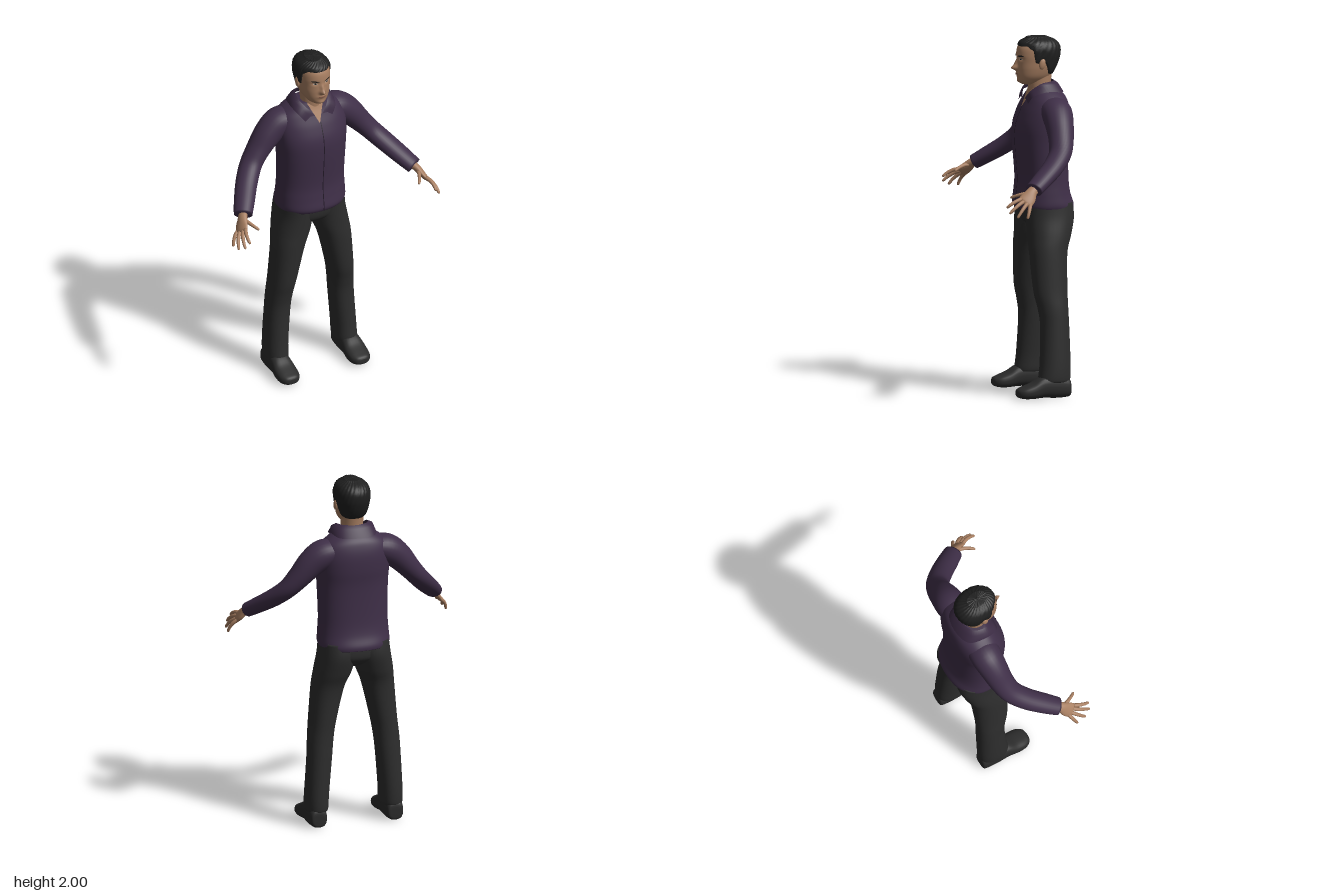
import * as THREE from 'three';

const V3 = (x, y, z) => new THREE.Vector3(x, y, z);
const UP = V3(0, 1, 0);
const flat = (name, color, side = THREE.FrontSide) => {
  const m = new THREE.MeshStandardMaterial({ color, side });
  m.name = name;
  return m;
};

// Catmull-Rom interpolation of rows of numbers, k steps per gap
function smooth(rows, k) {
  const out = [], n = rows.length;
  for (let i = 0; i < n - 1; i++) {
    const [a, b, c, d] = [rows[Math.max(i - 1, 0)], rows[i], rows[i + 1], rows[Math.min(i + 2, n - 1)]];
    for (let j = 0; j < k; j++) {
      const t = j / k;
      out.push(b.map((_, q) => b[q] + 0.5 * t * (c[q] - a[q] + t * (2 * a[q] - 5 * b[q] + 4 * c[q] - d[q] + t * (3 * (b[q] - c[q]) + d[q] - a[q])))));
    }
  }
  out.push(rows[n - 1].slice());
  return out;
}

// Superellipse point
const sup = (t, n) => [Math.cos(t), Math.sin(t)].map(v => Math.sign(v) * Math.abs(v) ** (2 / n));

function grid(rings, closed) {
  const w = rings[0].length, pos = rings.flat().flatMap(p => [p.x, p.y, p.z]), idx = [];
  for (let i = 0; i < rings.length - 1; i++)
    for (let j = 0; j < (closed ? w : w - 1); j++) {
      const a = i * w + j, b = i * w + (j + 1) % w;
      idx.push(a, b, b + w, a, b + w, a + w);
    }
  const g = new THREE.BufferGeometry();
  g.setAttribute('position', new THREE.Float32BufferAttribute(pos, 3));
  g.setIndex(idx);
  g.computeVertexNormals();
  return g;
}

// Rows [cx, cy, cz, a, b]; rings follow the path, or stay square to a fixed axis
function loft(rows, { k = 5, seg = 28, n = 2, axis, hint = UP } = {}) {
  const r = smooth(rows, k), c = r.map(q => V3(q[0], q[1], q[2]));
  const rings = r.map((q, i) => {
    const T = axis ? axis.clone() : c[Math.min(i + 1, c.length - 1)].clone().sub(c[Math.max(i - 1, 0)]).normalize();
    const U = axis === UP ? V3(1, 0, 0) : T.clone().cross(hint).normalize();
    const W = T.clone().cross(U);
    return Array.from({ length: seg }, (_, j) => {
      const [u, v] = sup(j / seg * Math.PI * 2, n);
      return c[i].clone().addScaledVector(U, u * q[3]).addScaledVector(W, v * q[4]);
    });
  });
  const cap = i => Array(seg).fill(c[i]);
  return grid([cap(0), ...rings, cap(c.length - 1)], true);
}

// Rows [y, cx, halfWidth, front, back] for upright parts
const upright = rows => rows.map(([y, x, w, f, b]) => [x, y, (f + b) / 2, w, (f - b) / 2]);
function at(dense, y) {
  let i = 0;
  while (i < dense.length - 2 && dense[i + 1][1] < y) i++;
  const a = dense[i], b = dense[i + 1], t = Math.min(1, Math.max(0, (y - a[1]) / (b[1] - a[1])));
  return a.map((v, q) => v + (b[q] - v) * t);
}
const frontOf = (rows, n) => {
  const d = smooth(rows, 6);
  return (x, y) => {
    const [cx, , cz, a, b] = at(d, y);
    return cz + b * Math.max(0, 1 - Math.abs((x - cx) / a) ** n) ** (1 / n);
  };
};

const TORSO = upright([
  [1.045, 0, 0.196, 0.04, -0.275], [1.07, 0, 0.202, 0.048, -0.275], [1.13, 0, 0.199, 0.04, -0.255], [1.22, 0, 0.195, 0.034, -0.245],
  [1.4, 0, 0.2, 0.048, -0.243], [1.5, 0, 0.207, 0.046, -0.252], [1.58, 0, 0.208, 0.02, -0.252],
  [1.64, 0, 0.19, -0.01, -0.24], [1.68, 0, 0.145, -0.03, -0.22], [1.72, 0, 0.08, -0.045, -0.175]]);
const HEAD = upright([
  [1.733, 0, 0.028, 0.005, -0.08], [1.75, 0, 0.052, 0.028, -0.125], [1.78, 0, 0.073, 0.035, -0.155], [1.82, 0, 0.084, 0.037, -0.178],
  [1.86, 0, 0.088, 0.036, -0.192], [1.9, 0, 0.09, 0.037, -0.2], [1.94, 0, 0.086, 0.03, -0.198],
  [1.97, 0, 0.068, 0.008, -0.172], [1.988, 0, 0.03, -0.03, -0.125]]);
// Face relief: [x, y, height, spread x, spread y]
const RELIEF = [[0, 1.826, 0.03, 0.013, 0.014], [0, 1.85, 0.016, 0.009, 0.022], [0.036, 1.88, -0.009, 0.017, 0.01],
  [-0.036, 1.88, -0.009, 0.017, 0.01], [0, 1.793, 0.007, 0.022, 0.009], [0, 1.752, 0.006, 0.02, 0.012]];
const relief = (x, y) => RELIEF.reduce((s, [a, b, h, p, q]) => s + h * Math.exp(-(((x - a) / p) ** 2) - ((y - b) / q) ** 2), 0);

export function createModel() {
  const model = new THREE.Group();
  model.name = 'standingMan';
  const D = THREE.DoubleSide;
  const skin = flat('skin', 0xa87f62, D), shirt = flat('shirt', 0x3f2f48), shirtOpen = flat('collarCloth', 0x3b2b43, D);
  const seam = flat('seam', 0x211826, D), trousers = flat('trousers', 0x2d2d2d), shoe = flat('shoe', 0x2b2b2b);
  const hair = flat('hair', 0x1f1f1f, D), lip = flat('lips', 0x8a5e4c, D), white = flat('eyeWhite', 0xb8aea4, D);
  const add = (name, geo, mat) => {
    const m = new THREE.Mesh(geo, mat);
    m.name = name;
    model.add(m);
  };

  // Shirt body and front details that follow the chest
  add('shirtBody', loft(TORSO, { axis: UP, n: 2.3, seg: 56 }), shirt);
  const chest = frontOf(TORSO, 2.3);
  const strip = (y0, y1, x0, half, off) => grid(Array.from({ length: 25 }, (_, i) => {
    const t = i / 24, y = y0 + (y1 - y0) * t;
    return [-1, -0.5, 0, 0.5, 1].map(u => { const x = x0 + u * half(t); return V3(x, y, chest(x, y) + off); });
  }), false);
  add('buttonPlacket', strip(1.05, 1.61, 0.006, () => 0.0025, 0.003), seam);
  add('openNeckline', strip(1.605, 1.715, 0, t => 0.05 * t, 0.004), skin);

  // Collar: folded strip around the neck
  const inner = [[0.022, 1.655, 0], [0.06, 1.7, -0.022], [0.09, 1.742, -0.075], [0.07, 1.752, -0.145], [0, 1.752, -0.172]];
  const outer = [[0.085, 1.632, 0], [0.117, 1.677, -0.025], [0.13, 1.7, -0.1], [0.1, 1.692, -0.195], [0, 1.69, -0.222]];
  const round = p => smooth([...p, ...p.slice(0, -1).reverse().map(([x, y, z]) => [-x, y, z])], 6).map(q => V3(...q));
  const ci = round(inner), co = round(outer);
  const cm = ci.map((p, i) => p.clone().lerp(co[i], 0.45).add(V3(p.x * 0.08, 0.012, 0)));
  add('collar', grid([ci, cm, co], false), shirtOpen);

  // Neck and head
  add('neck', loft(upright([[1.62, 0, 0.07, -0.04, -0.17], [1.7, 0, 0.062, -0.03, -0.155], [1.8, 0, 0.065, -0.03, -0.165]]), { axis: UP }), skin);
  const head = loft(HEAD, { axis: UP, n: 2.2, seg: 96, k: 8 }), hp = head.attributes.position;
  for (let i = 0; i < hp.count; i++) if (hp.getZ(i) > -0.04) hp.setZ(i, hp.getZ(i) + relief(hp.getX(i), hp.getY(i)));
  head.computeVertexNormals();
  add('head', head, skin);

  // Face details, laid on the face surface
  const bare = frontOf(HEAD, 2.2);
  const patch = (x, y, w, h, tilt, off) => {
    const g = new THREE.CircleGeometry(1, 20).scale(w, h, 1).rotateZ(tilt).translate(x, y, 0), p = g.attributes.position;
    for (let i = 0; i < p.count; i++) p.setZ(i, bare(p.getX(i), p.getY(i)) + relief(p.getX(i), p.getY(i)) + off);
    g.computeVertexNormals();
    return g;
  };
  add('mouth', patch(0, 1.793, 0.024, 0.005, 0, 0.002), lip);
  for (const s of [1, -1]) {
    const side = s > 0 ? 'left' : 'right';
    add(side + 'Eye', patch(s * 0.036, 1.878, 0.013, 0.0045, 0, 0.002), white);
    add(side + 'Iris', patch(s * 0.036, 1.878, 0.0055, 0.0048, 0, 0.0035), hair);
    add(side + 'Eyebrow', patch(s * 0.038, 1.895, 0.022, 0.004, s * 0.12, 0.003), hair);
    add(side + 'Ear', new THREE.SphereGeometry(1, 16, 12).scale(0.011, 0.031, 0.019).rotateX(-0.2).translate(s * 0.092, 1.853, -0.082), skin);
  }

  // Hair: a shell over the skull whose hairline changes around the head
  const dense = smooth(HEAD, 6), line = [[-1, 1.775], [-0.55, 1.79], [-0.2, 1.85], [0, 1.875], [0.08, 1.85], [0.25, 1.855], [0.38, 1.925], [0.7, 1.95], [1, 1.948]];
  const hairline = s => {
    const i = Math.max(0, line.findIndex(q => q[0] >= s) - 1), [a, b] = [line[i], line[i + 1]];
    return a[1] + (b[1] - a[1]) * (s - a[0]) / (b[0] - a[0]);
  };
  const hairRings = [];
  for (let i = 0; i <= 24; i++) {
    const t = i / 24;
    hairRings.push(Array.from({ length: 96 }, (_, j) => {
      const th = -j / 96 * Math.PI * 2, [u, v] = sup(th, 2.2);
      const y0 = hairline(Math.max(-0.9999, Math.min(0.9999, Math.sin(th))));
      const y = y0 + (1.988 - y0) * Math.sin(t * Math.PI / 2), [, , cz, a, b] = at(dense, y);
      const tuft = 0.0018 * Math.sin(j * 1.3 + i * 0.9) * Math.sin(i * 1.7 - j * 0.4);
      const off = i === 0 ? -0.004 : Math.min(0.011, 0.004 + t * 0.02) + tuft;
      return V3(u * (a + off), y + 0.009 * t * t + tuft, cz + v * (b + off));
    }));
  }
  hairRings.push(Array(96).fill(V3(0, 2, -0.078)));
  add('hair', grid(hairRings, true), hair);

  // Hips joining the two legs
  add('hips', loft(upright([[0.925, 0, 0.05, -0.06, -0.17], [0.96, 0, 0.13, -0.01, -0.225], [1.0, 0, 0.192, 0.012, -0.252], [1.08, 0, 0.19, 0.02, -0.25]]),
    { axis: UP, n: 2.4, seg: 40 }), trousers);

  for (const s of [1, -1]) {
    const side = s > 0 ? 'left' : 'right';
    const flip = rows => rows.map(([x, ...r]) => [x * s, ...r]);

    // Sleeve
    add(side + 'Sleeve', loft(flip([[0.1, 1.61, -0.13, 0.085, 0.06], [0.18, 1.59, -0.135, 0.088, 0.082], [0.25, 1.54, -0.13, 0.08, 0.077],
      [0.32, 1.46, -0.118, 0.07, 0.063], [0.38, 1.39, -0.092, 0.064, 0.054], [0.44, 1.325, -0.03, 0.062, 0.05],
      [0.5, 1.262, 0.055, 0.058, 0.045], [0.538, 1.222, 0.112, 0.052, 0.041]])), shirt);

    // Palm, four fingers and thumb
    const hint = V3(0.78 * s, 0.62, 0);
    add(side + 'Palm', loft(flip([[0.525, 1.235, 0.09, 0.026, 0.024], [0.548, 1.213, 0.125, 0.03, 0.021],
      [0.566, 1.185, 0.15, 0.041, 0.018], [0.579, 1.165, 0.172, 0.042, 0.014], [0.583, 1.159, 0.18, 0.034, 0.009]]), { hint }), skin);
    const fingers = {
      IndexFinger: [[0.567, 1.18, 0.195], [0.585, 1.138, 0.283]], MiddleFinger: [[0.576, 1.168, 0.181], [0.61, 1.108, 0.275]],
      RingFinger: [[0.584, 1.158, 0.163], [0.63, 1.085, 0.235]], LittleFinger: [[0.589, 1.152, 0.147], [0.635, 1.078, 0.178]],
      Thumb: [[0.545, 1.205, 0.138], [0.503, 1.18, 0.236]],
    };
    for (const [name, [p, q]] of Object.entries(fingers)) {
      const rows = [[0, 0.011], [0.35, 0.0105], [0.7, 0.009], [0.93, 0.0075], [1, 0.003]].map(([t, r]) => {
        const bow = 0.008 * Math.sin(t * Math.PI);
        return [p[0] + (q[0] - p[0]) * t + bow, p[1] + (q[1] - p[1]) * t + bow, p[2] + (q[2] - p[2]) * t, r, r];
      });
      add(side + name, loft(flip(rows), { seg: 14, k: 3 }), skin);
    }

    // Trouser leg
    const leg = upright([[0.09, 0.216, 0.06, -0.022, -0.195], [0.11, 0.216, 0.065, -0.02, -0.202], [0.2, 0.213, 0.066, -0.03, -0.204],
      [0.4, 0.199, 0.069, -0.038, -0.2], [0.5, 0.191, 0.071, -0.025, -0.197], [0.6, 0.178, 0.074, -0.004, -0.197],
      [0.8, 0.146, 0.09, 0.008, -0.205], [0.9, 0.12, 0.103, 0.01, -0.235], [1.0, 0.101, 0.103, 0.015, -0.258], [1.08, 0.096, 0.1, 0.02, -0.25]]);
    add(side + 'TrouserLeg', loft(flip(leg), { axis: UP, n: 2.2, seg: 36 }), trousers);

    // Shoe, from heel to toe: [z, half width, bottom, top]
    const sole = [[-0.2, 0.03, 0.02, 0.08], [-0.188, 0.046, 0.005, 0.11], [-0.12, 0.055, 0, 0.13], [-0.04, 0.058, 0.004, 0.125],
      [0.02, 0.064, 0, 0.09], [0.07, 0.06, 0.002, 0.07], [0.1, 0.042, 0.01, 0.058], [0.11, 0.02, 0.02, 0.045]];
    add(side + 'Shoe', loft(flip(sole.map(([z, w, b, t]) => [0.222, (b + t) / 2, z, w, (t - b) / 2])), { axis: V3(0, 0, 1), n: 2.6 }), shoe);
  }
  return model;
}
